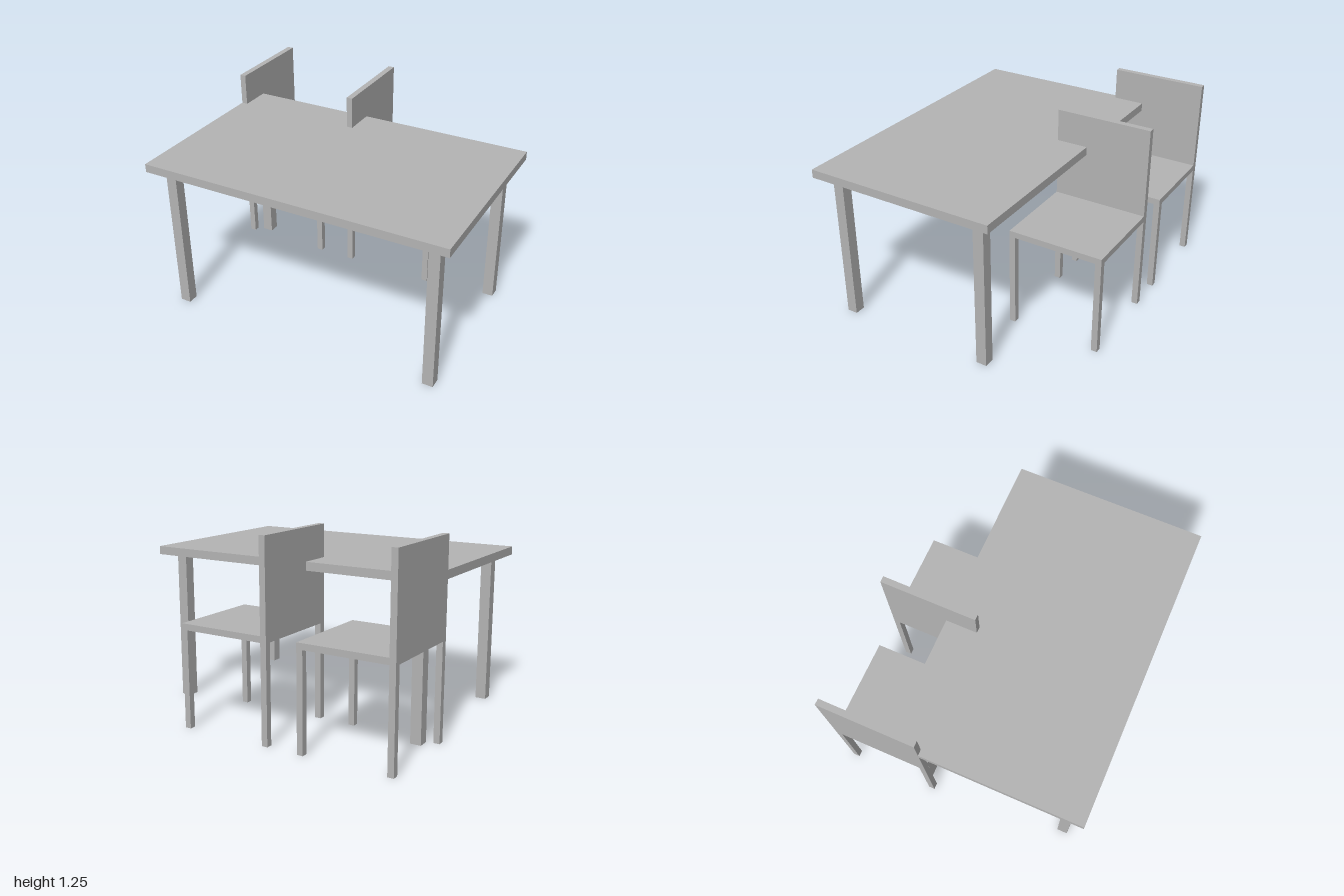
import * as THREE from 'three';

const grey = new THREE.MeshStandardMaterial({ color: 0xb4b4b4 });
grey.name = 'grey';

// Box given by its lower and upper limits on each axis
function block(name, [x0, x1], [y0, y1], [z0, z1]) {
  const mesh = new THREE.Mesh(new THREE.BoxGeometry(x1 - x0, y1 - y0, z1 - z0), grey);
  mesh.position.set((x0 + x1) / 2, (y0 + y1) / 2, (z0 + z1) / 2);
  mesh.name = name;
  return mesh;
}

// Table: top slab on four square legs
function createTable() {
  const table = new THREE.Group();
  table.name = 'table';
  table.add(block('tableTop', [-1, 1], [0.988, 1.042], [-0.415, 0.833]));
  for (const x of [-0.917, 0.847])
    for (const z of [-0.33, 0.68])
      table.add(block('tableLeg', [x, x + 0.07], [0, 0.988], [z, z + 0.07]));
  return table;
}

// Chair facing +x, with its back panel along the x = 0 edge
function createChair(x) {
  const size = 0.624, t = 0.04, seatBottom = 0.628, seatTop = 0.668;
  const chair = new THREE.Group();
  chair.name = 'chair';
  chair.add(block('seat', [0, size], [seatBottom, seatTop], [0, size]));
  chair.add(block('backrest', [0, t], [seatTop, 1.25], [0, size]));
  for (const lx of [0, size - t])
    for (const lz of [0, size - t])
      chair.add(block('chairLeg', [lx, lx + t], [0, seatBottom], [lz, lz + t]));
  chair.position.set(x, 0, -0.833);
  return chair;
}

export function createModel() {
  const model = new THREE.Group();
  model.name = 'diningSet';
  model.add(createTable(), createChair(-1), createChair(-0.168));
  return model;
}
